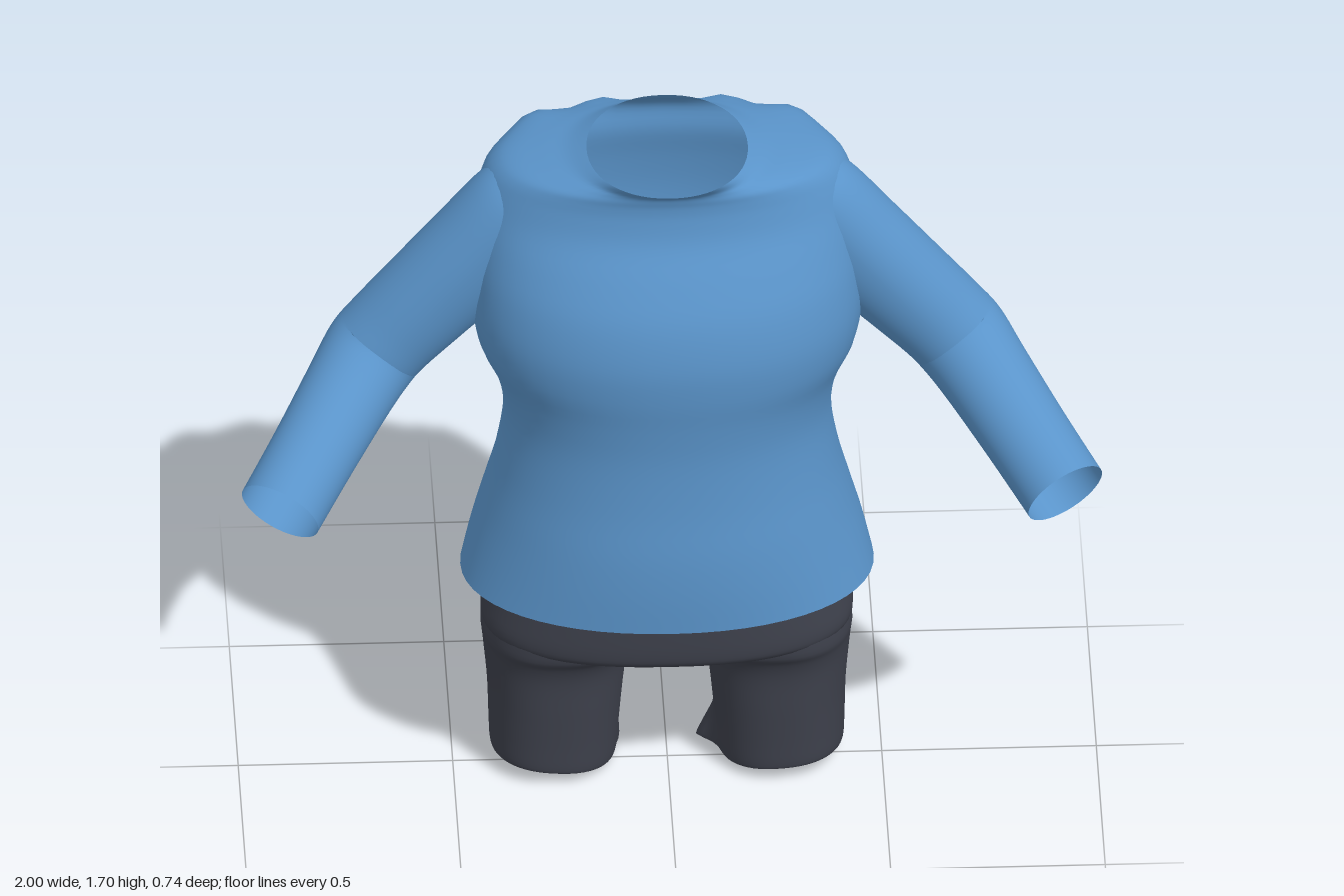
import * as THREE from 'three';

const SEG = 56;

// Catmull-Rom interpolation of every column in a short table of sections
function refine(rows, steps) {
  const out = [];
  const last = rows.length - 1;
  for (let i = 0; i < last; i++) {
    const a = rows[Math.max(i - 1, 0)], b = rows[i], c = rows[i + 1], d = rows[Math.min(i + 2, last)];
    for (let k = 0; k < steps; k++) {
      const t = k / steps;
      out.push(b.map((v, j) => v + 0.5 * t * (c[j] - a[j]
        + t * (2 * a[j] - 5 * v + 4 * c[j] - d[j] + t * (3 * (v - c[j]) + d[j] - a[j])))));
    }
  }
  out.push(rows[last]);
  return out;
}

// Skin over closed rings of points; side = -1 mirrors it across x
function loft(name, rings, material, side = 1) {
  const pos = [], index = [];
  for (const ring of rings) for (const p of ring) pos.push(p.x * side, p.y, p.z);
  for (let i = 0; i < rings.length - 1; i++) {
    for (let j = 0; j < SEG; j++) {
      const k = (j + 1) % SEG;
      const a = i * SEG + j, b = i * SEG + k, c = a + SEG, d = b + SEG;
      if (side > 0) index.push(a, c, b, b, c, d);
      else index.push(a, b, c, b, d, c);
    }
  }
  const g = new THREE.BufferGeometry();
  g.setAttribute('position', new THREE.Float32BufferAttribute(pos, 3));
  g.setIndex(index);
  g.computeVertexNormals();
  const mesh = new THREE.Mesh(g, material);
  mesh.name = name;
  return mesh;
}

// Horizontal superellipse ring between x0..x1 and zBack..zFront
function flatRing([y, x0, x1, zf, zb], power, adjust) {
  const ring = [];
  for (let j = 0; j < SEG; j++) {
    const a = j / SEG * Math.PI * 2, c = Math.cos(a), s = Math.sin(a);
    const round = v => Math.sign(v) * Math.abs(v) ** (2 / power);
    const p = new THREE.Vector3(
      (x0 + x1) / 2 + (x1 - x0) / 2 * round(c), y,
      (zf + zb) / 2 + (zf - zb) / 2 * round(s));
    if (adjust) adjust(p, a);
    ring.push(p);
  }
  return ring;
}

export function createModel() {
  const group = new THREE.Group();
  const blue = new THREE.MeshStandardMaterial({ color: 0x5a94ca, side: THREE.DoubleSide });
  blue.name = 'shirtBlue';
  const dark = new THREE.MeshStandardMaterial({ color: 0x3d404b, side: THREE.DoubleSide });
  dark.name = 'trouserCharcoal';

  // Shirt body: height, half width, front z, back z
  const body = [
    [0.545, 0.482, 0.305, -0.332], [0.64, 0.458, 0.307, -0.365], [0.74, 0.43, 0.303, -0.36],
    [0.86, 0.4, 0.29, -0.322], [0.99, 0.382, 0.284, -0.302], [1.09, 0.397, 0.29, -0.31],
    [1.18, 0.438, 0.3, -0.323], [1.27, 0.455, 0.3, -0.334], [1.37, 0.455, 0.277, -0.34],
    [1.46, 0.45, 0.232, -0.333], [1.54, 0.442, 0.185, -0.32], [1.6, 0.425, 0.168, -0.325],
    [1.635, 0.398, 0.165, -0.305], [1.655, 0.36, 0.168, -0.28], [1.67, 0.295, 0.173, -0.258],
    [1.682, 0.235, 0.185, -0.24], [1.702, 0.188, 0.213, -0.223],
  ].map(([y, w, f, b]) => [y, -w, w, f, b]);
  // Puckered cloth behind the shoulders
  const pucker = p => {
    const bump = (x, y, z, r) => Math.exp(
      -((Math.abs(p.x) - x) ** 2 + (p.y - y) ** 2 + (p.z - z) ** 2) / (r * r));
    const k = 0.03 * bump(0.3, 1.6, -0.23, 0.06) + 0.018 * bump(0.15, 1.63, -0.28, 0.04);
    p.z -= k;
    p.y += k * 0.5;
  };
  group.add(loft('shirtBody', refine(body, 4).map(r => flatRing(r, 2.12, pucker)), blue));

  // Sleeve: centre x, y, z, upper radius, lower radius, front-back radius
  const sleeve = refine([
    [0.3, 1.588, -0.045, 0.085, 0.09, 0.09], [0.35, 1.529, -0.045, 0.112, 0.13, 0.11],
    [0.45, 1.41, -0.045, 0.114, 0.145, 0.114], [0.56, 1.28, -0.045, 0.114, 0.13, 0.113],
    [0.645, 1.178, -0.044, 0.115, 0.117, 0.112], [0.687, 1.128, -0.032, 0.116, 0.114, 0.112],
    [0.74, 1.076, 0.035, 0.108, 0.108, 0.108], [0.83, 0.993, 0.175, 0.102, 0.102, 0.102],
    [0.915, 0.915, 0.307, 0.1, 0.1, 0.1],
  ], 5);
  const centres = sleeve.map(r => new THREE.Vector3(r[0], r[1], r[2]));
  const sleeveRings = sleeve.map((r, i) => {
    const t = centres[Math.min(i + 1, centres.length - 1)].clone()
      .sub(centres[Math.max(i - 1, 0)]).normalize();
    const u = new THREE.Vector3(0.764, 0.645, 0);
    u.addScaledVector(t, -u.dot(t)).normalize();
    const v = u.clone().cross(t);
    return Array.from({ length: SEG }, (_, j) => {
      const a = j / SEG * Math.PI * 2, c = Math.cos(a);
      return centres[i].clone().addScaledVector(u, c * (c > 0 ? r[3] : r[4]))
        .addScaledVector(v, Math.sin(a) * r[5]);
    });
  });

  // Trouser seat, closed underneath at the crotch
  const seat = [
    [0.368, -0.005, 0.005, -0.03, -0.04], [0.369, -0.2, 0.2, 0.1, -0.15],
    [0.373, -0.36, 0.36, 0.175, -0.225], [0.39, -0.418, 0.418, 0.208, -0.257],
    [0.42, -0.434, 0.434, 0.217, -0.272], [0.48, -0.425, 0.425, 0.218, -0.3],
    [0.55, -0.412, 0.412, 0.216, -0.326], [0.64, -0.4, 0.4, 0.215, -0.325],
    [0.74, -0.385, 0.385, 0.215, -0.3],
  ];
  group.add(loft('trouserSeat', refine(seat, 4).map(r => flatRing(r, 2.4)), dark));

  // Trouser leg from the turned-in hem upwards: y, inner x, outer x, front z, back z
  const leg = refine([
    [0.075, 0.155, 0.375, 0.09, -0.165], [0.035, 0.145, 0.388, 0.1, -0.18],
    [0.022, 0.128, 0.402, 0.115, -0.195], [0.032, 0.119, 0.412, 0.122, -0.202],
    [0.1, 0.112, 0.415, 0.124, -0.215], [0.2, 0.102, 0.418, 0.128, -0.234],
    [0.29, 0.09, 0.426, 0.132, -0.25], [0.34, 0.073, 0.431, 0.145, -0.26],
    [0.372, 0.045, 0.433, 0.165, -0.266], [0.42, 0.03, 0.425, 0.17, -0.265],
  ], 4);

  for (const side of [1, -1]) {
    const label = side > 0 ? 'left' : 'right';
    group.add(loft(label + 'Sleeve', sleeveRings, blue, side));
    // Slanted hem with a frayed inner corner
    const hem = (p, a) => {
      const low = Math.max(0, 1 - p.y / 0.2);
      const fray = Math.exp(-(((a - Math.PI * 1.08) / 0.22) ** 2)) * Math.max(0, 1 - p.y / 0.11);
      p.y += low * (0.09 * (p.x - 0.26) + 0.11 * (p.z + 0.04));
      p.x -= fray * (side > 0 ? 0.07 : 0.02);
    };
    group.add(loft(label + 'TrouserLeg', leg.map(r => flatRing(r, 2.3, hem)), dark, side));
  }
  return group;
}
